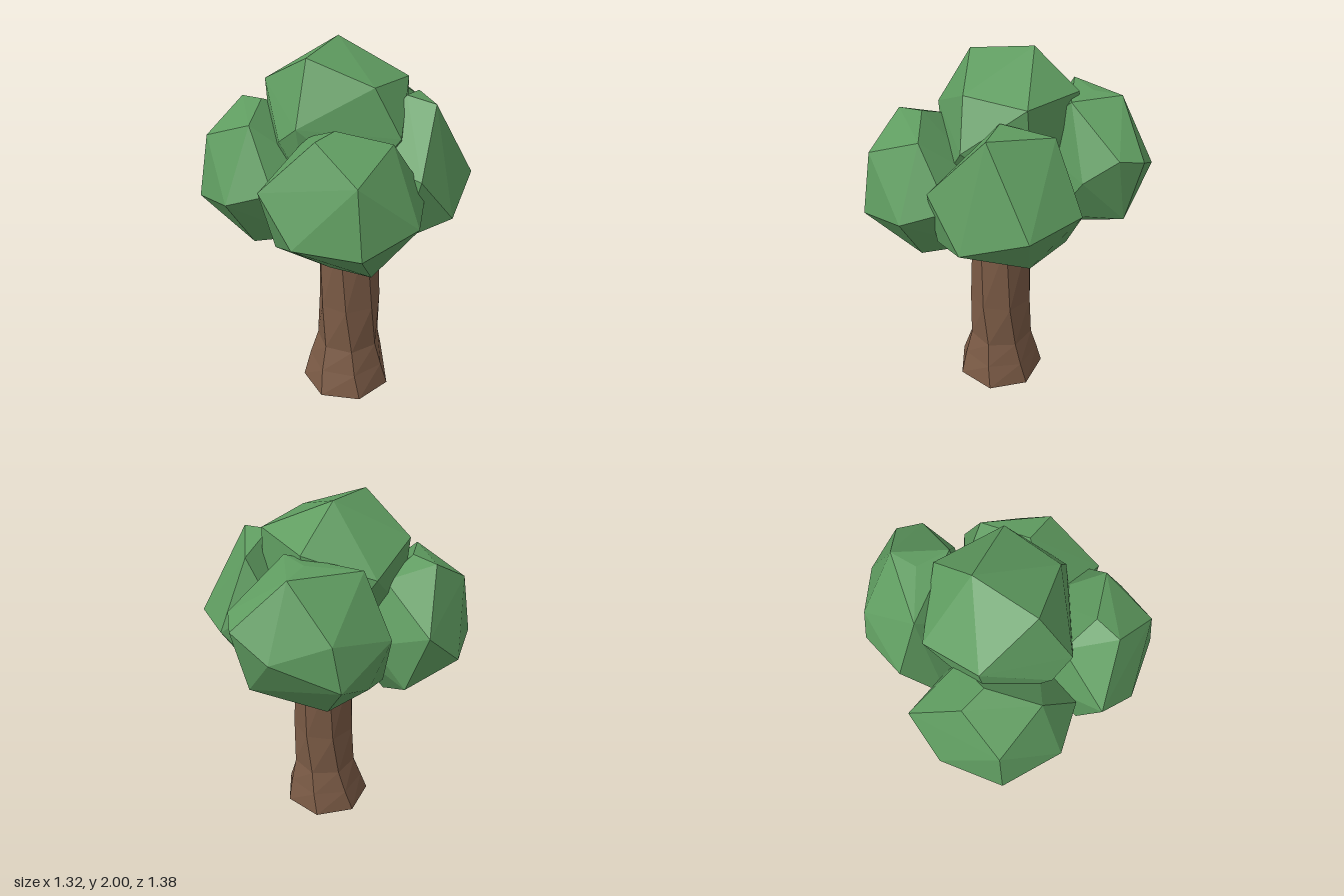
import * as THREE from 'three';
import { ConvexGeometry } from 'three/addons/geometries/ConvexGeometry.js';

const leafMaterial = new THREE.MeshStandardMaterial({ color: 0x5f9c60, flatShading: true });
const barkMaterial = new THREE.MeshStandardMaterial({ color: 0x7a5a45, flatShading: true });

// Faceted leaf clump: the convex hull of a few corners
function clump(name, corners) {
  const geometry = new ConvexGeometry(corners.map((c) => new THREE.Vector3(...c)));
  const mesh = new THREE.Mesh(geometry, leafMaterial);
  mesh.name = name;
  return mesh;
}

// Corners shared by the two front clumps, which are turned copies of each other
const frontCorners = [
  [-0.48, 1.69, 0.28], [-0.34, 1.70, 0.27], [-0.19, 1.65, 0.49],
  [-0.48, 1.54, 0.53], [-0.51, 1.21, 0.585], [-0.20, 1.28, 0.665],
  [-0.66, 1.22, 0.29], [-0.64, 1.43, 0.06], [-0.27, 0.96, 0.44],
  [-0.28, 0.91, 0.17], [-0.02, 1.03, 0.31], [-0.53, 1.09, 0.04],
  [-0.10, 1.20, 0.02], [-0.35, 1.30, -0.02], [-0.33, 1.62, 0.08],
  [0.02, 1.40, 0.25], [0.01, 1.36, 0.54],
];

const topCorners = [
  [-0.11, 2.00, -0.06], [-0.02, 1.96, 0.26], [0.22, 1.82, -0.225],
  [-0.14, 1.81, -0.30], [0.39, 1.60, 0.04], [0.27, 1.84, 0.10],
  [-0.34, 1.80, 0.24], [-0.41, 1.70, -0.07], [0.06, 1.67, 0.42],
  [-0.06, 1.58, 0.42], [0.05, 1.35, 0.36], [-0.30, 1.40, 0.25],
  [0.30, 1.40, 0.20], [0.20, 1.35, -0.25], [-0.25, 1.35, -0.25],
  [0.00, 1.25, 0.00],
];

const backLeftCorners = [
  [0.29, 1.76, -0.12], [0.45, 1.74, -0.15], [0.19, 1.71, -0.36],
  [0.51, 1.32, -0.42], [0.21, 1.35, -0.53], [0.62, 1.20, -0.10],
  [0.49, 1.13, 0.13], [0.57, 1.45, 0.11], [0.05, 1.50, -0.33],
  [0.00, 1.30, -0.20], [0.32, 1.03, -0.31], [0.04, 1.05, -0.36],
  [0.19, 0.98, 0.02], [0.10, 1.15, 0.08], [0.20, 1.50, 0.12],
];

const backRightCorners = [
  [-0.25, 1.79, -0.48], [-0.21, 1.80, -0.34], [-0.04, 1.79, -0.31],
  [-0.39, 1.77, -0.14], [-0.09, 1.55, -0.69], [-0.30, 1.45, -0.65],
  [-0.49, 1.54, -0.44], [-0.54, 1.31, -0.43], [-0.55, 1.46, -0.11],
  [0.02, 1.58, -0.61], [0.09, 1.45, -0.46], [-0.40, 1.10, 0.02],
  [-0.33, 1.03, -0.31], [-0.10, 1.20, -0.61], [-0.50, 1.20, -0.20],
  [-0.11, 1.02, -0.11], [0.05, 1.20, -0.30], [-0.10, 1.50, -0.05],
];

// Seven-sided trunk with a flared foot and a slight twist
function trunk() {
  const sides = 7;
  // height, radius, twist in degrees, centre x, centre z
  const rings = [
    [0, 0.258, 7, 0.053, 0.057],
    [0.14, 0.222, 1, 0.052, 0.05],
    [0.28, 0.183, -4, 0.055, 0.043],
    [0.55, 0.178, -15, 0.055, 0.04],
    [1.0, 0.168, -24, 0.042, 0.035],
    [1.35, 0.14, -32, 0.03, 0.03],
  ];
  const geometry = new THREE.CylinderGeometry(1, 1, 1, sides, rings.length - 1);
  const p = geometry.attributes.position;
  for (let i = 0; i < p.count; i++) {
    const level = Math.round((p.getY(i) + 0.5) * (rings.length - 1));
    const [y, radius, twist, cx, cz] = rings[level];
    const reach = Math.hypot(p.getX(i), p.getZ(i)) * radius;
    const angle = Math.atan2(p.getX(i), p.getZ(i)) + THREE.MathUtils.degToRad(twist);
    p.setXYZ(i, cx + reach * Math.sin(angle), y, cz + reach * Math.cos(angle));
  }
  geometry.computeVertexNormals();
  const mesh = new THREE.Mesh(geometry, barkMaterial);
  mesh.name = 'trunk';
  return mesh;
}

export function createModel() {
  const tree = new THREE.Group();
  tree.name = 'tree';
  tree.add(trunk());

  const foliage = new THREE.Group();
  foliage.name = 'foliage';
  const frontLeft = clump('frontLeftClump', frontCorners);
  frontLeft.rotation.y = Math.PI / 2;
  frontLeft.position.set(-0.01, 0, 0.025);
  foliage.add(
    clump('topClump', topCorners),
    clump('frontRightClump', frontCorners),
    frontLeft,
    clump('backLeftClump', backLeftCorners),
    clump('backRightClump', backRightCorners),
  );
  tree.add(foliage);
  return tree;
}
